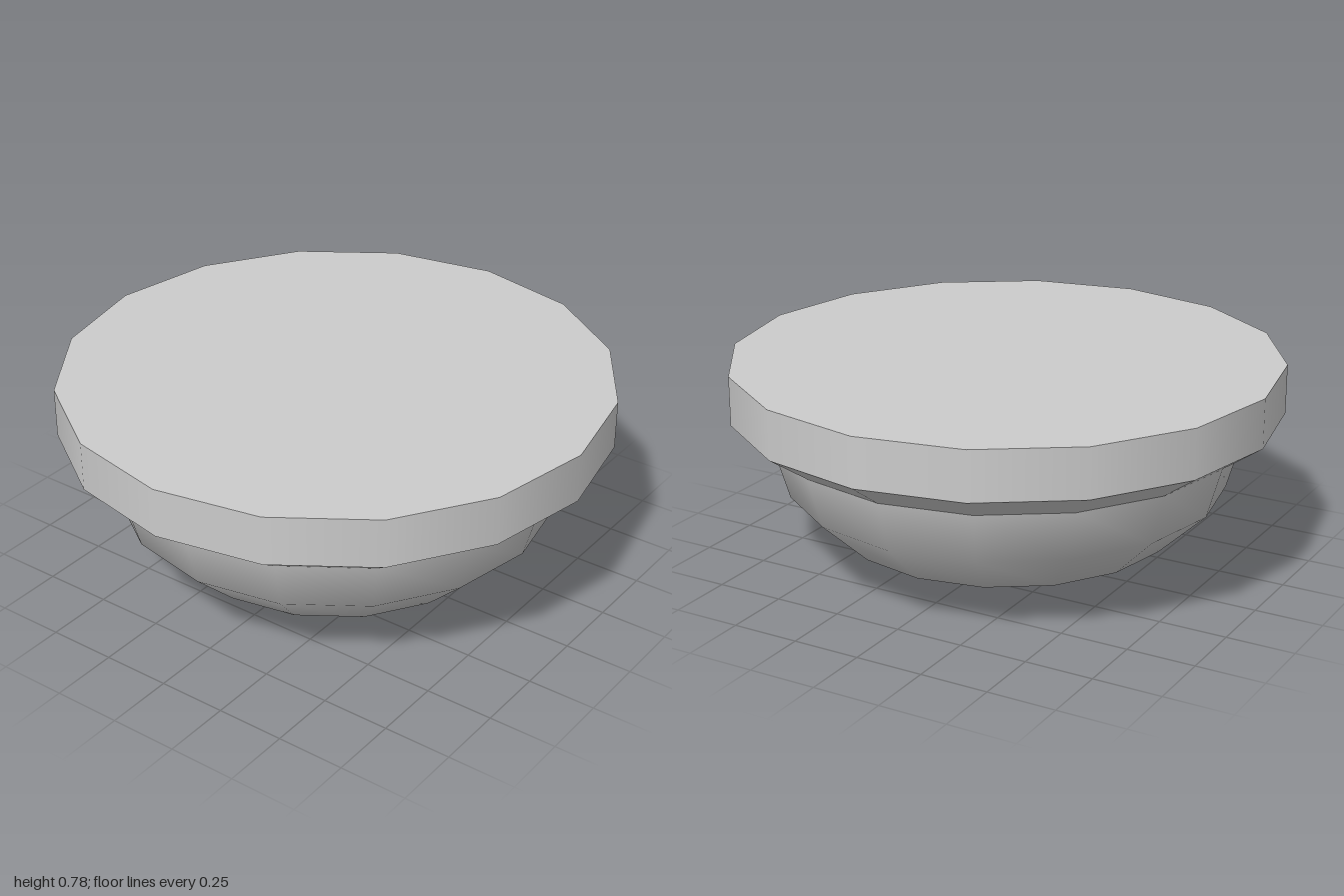
import * as THREE from 'three';

const SIDES = 16;

export function createModel() {
  const group = new THREE.Group();
  const material = new THREE.MeshStandardMaterial({ color: 0xcccccc });

  const add = (name, geometry) => {
    const mesh = new THREE.Mesh(geometry, material);
    mesh.name = name;
    group.add(mesh);
    return mesh;
  };
  // Profiles run bottom to top for surfaces that face outward
  const lathe = (profile) =>
    new THREE.LatheGeometry(profile.map(([r, y]) => new THREE.Vector2(r, y)), SIDES);

  // Shallow rounded bowl, with its thin inner wall facing inward
  add('bowl', lathe([[0, 0], [0.34, 0.035], [0.62, 0.14], [0.8, 0.31], [0.855, 0.5]]));
  add('bowlLining', lathe([[0.82, 0.5], [0.77, 0.33], [0.6, 0.17], [0.33, 0.07], [0, 0.035]]));

  // Sloping collar between bowl and base
  add('collar', lathe([[0.855, 0.5], [1, 0.6]]));

  // Upright band and flat cap of the mounting base
  add('baseBand', lathe([[1, 0.6], [1, 0.78]]));
  const cap = add('baseCap', new THREE.CircleGeometry(1, SIDES));
  cap.rotation.x = -Math.PI / 2;
  cap.position.y = 0.78;

  return group;
}
